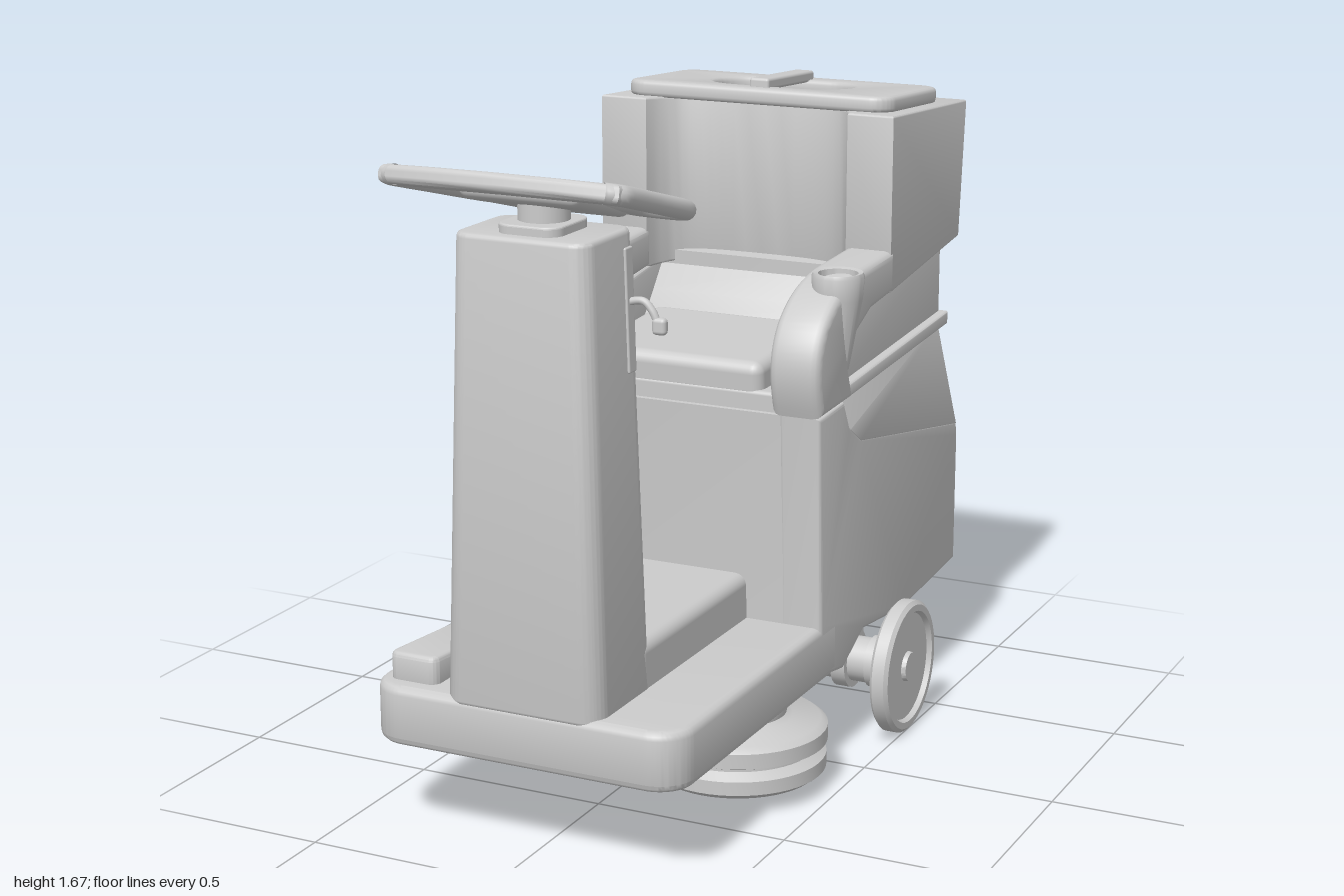
import * as THREE from 'three';
import { toCreasedNormals } from 'three/addons/utils/BufferGeometryUtils.js';
import { RoundedBoxGeometry } from 'three/addons/geometries/RoundedBoxGeometry.js';

const mat = new THREE.MeshStandardMaterial({ color: 0xcccccc, side: THREE.DoubleSide });
const V = (x, y, z) => new THREE.Vector3(x, y, z);

function add(parent, name, geo, x = 0, y = 0, z = 0) {
  const m = new THREE.Mesh(geo, mat);
  m.name = name;
  m.position.set(x, y, z);
  parent.add(m);
  return m;
}
// move every vertex by a rule
function bend(geo, rule) {
  const p = geo.attributes.position, v = V();
  for (let i = 0; i < p.count; i++) {
    rule(v.fromBufferAttribute(p, i));
    p.setXYZ(i, v.x, v.y, v.z);
  }
  return geo;
}
const crease = g => toCreasedNormals(g, 0.6);
const poly = pts => new THREE.Shape(pts.map(p => new THREE.Vector2(p[0], p[1])));
function extrude(shape, depth, b) {
  return new THREE.ExtrudeGeometry(shape, { depth: depth - 2 * b, bevelEnabled: b > 0, bevelSize: b,
    bevelThickness: b, bevelOffset: -b, bevelSegments: 3, curveSegments: 12 }).translate(0, 0, b);
}
// side profile in (z, y), spanning x0..x1
const side = (shape, x0, x1, b = 0.01) => extrude(shape, x1 - x0, b).rotateY(-Math.PI / 2).translate(x1, 0, 0);
// plan shape in (x, z), spanning y0..y1
const plan = (shape, y0, y1, b = 0.01) => extrude(shape, y1 - y0, b).rotateX(Math.PI / 2).translate(0, y1, 0);
// rounded rectangle in plan
function rounded(x0, x1, z0, z1, r, S = THREE.Shape) {
  const s = new S();
  s.absarc(x1 - r, z1 - r, r, 0, Math.PI / 2);
  s.absarc(x0 + r, z1 - r, r, Math.PI / 2, Math.PI);
  s.absarc(x0 + r, z0 + r, r, Math.PI, Math.PI * 1.5);
  s.absarc(x1 - r, z0 + r, r, Math.PI * 1.5, Math.PI * 2);
  s.closePath();
  return s;
}
const lathe = pts => crease(new THREE.LatheGeometry(pts.map(p => new THREE.Vector2(p[0], p[1])), 48));
const tube = (pts, r, n = 80) => new THREE.TubeGeometry(new THREE.CatmullRomCurve3(pts, false, 'catmullrom', 0.5), n, r, 14);
const cyl = (r, h, axis = 'y') => {
  const g = new THREE.CylinderGeometry(r, r, h, 28);
  return axis === 'x' ? g.rotateZ(Math.PI / 2) : axis === 'z' ? g.rotateX(Math.PI / 2) : g;
};
const box = (w, h, d, r = 0.008) => new RoundedBoxGeometry(w, h, d, 3, r);

export function createModel() {
  const g = new THREE.Group();
  g.name = 'rideOnFloorScrubber';

  // platform, tunnel and pedal
  add(g, 'platform', crease(plan(rounded(-0.415, 0.41, -0.1, 0.89, 0.09), 0.24, 0.388, 0.02)));
  add(g, 'floorTunnel', box(0.41, 0.2, 0.62, 0.03), 0, 0.405, 0.36);
  add(g, 'pedal', crease(bend(plan(rounded(-0.38, -0.25, 0.52, 0.84, 0.025), 0.37, 0.455, 0.012),
    v => { if (v.y > 0.4 && v.z < 0.7) v.y -= 0.02; })));

  // steering column, tapering upward
  add(g, 'column', crease(bend(plan(rounded(-0.207, 0.207, 0.592, 0.89, 0.055), 0.37, 1.49, 0.012), v => {
    const k = 1 - 0.17 * (v.y - 0.37) / 1.12;
    v.x *= k;
    v.z = 0.74 + (v.z - 0.74) * k;
  })));
  add(g, 'columnCap', plan(rounded(-0.08, 0.08, 0.65, 0.83, 0.04), 1.48, 1.512, 0.005));
  add(g, 'steeringNeck', cyl(0.06, 0.09), 0, 1.54, 0.735);

  // handlebar, tilted up to the front
  const bar = new THREE.Group();
  bar.name = 'handlebar';
  bar.position.set(0, 1.575, 0.75);
  bar.rotation.x = -0.26;
  g.add(bar);
  add(bar, 'hub', box(0.31, 0.055, 0.28, 0.025), -0.005, -0.005, -0.035);
  add(bar, 'crossbar', crease(plan(poly([[-0.31, 0.15], [-0.17, 0.145], [0, 0.16], [0.17, 0.145], [0.31, 0.15],
    [0.3, 0.205], [0.16, 0.24], [0, 0.255], [-0.16, 0.24], [-0.3, 0.205]]), -0.022, 0.022, 0.016)));
  for (const s of [-1, 1]) {
    const p = [[0.26, 0.2], [0.285, 0.18], [0.29, 0.14], [0.28, 0], [0.27, -0.18], [0.24, -0.235], [0.18, -0.238],
      [0.14, -0.2], [0.135, -0.12], [0.13, -0.03]];
    add(bar, 'grip', tube(p.map(q => V(s * q[0], 0, q[1])), 0.024));
  }

  // column controls
  for (const x of [-0.115, 0.1]) add(g, 'switch', cyl(0.022, 0.035, 'z'), x, 1.405, 0.605);
  add(g, 'keyStem', cyl(0.008, 0.07, 'z'), -0.115, 1.4, 0.505);
  add(g, 'keyHead', box(0.015, 0.035, 0.035, 0.004), -0.115, 1.4, 0.465);
  for (const [s, y, h, ly] of [[1, 1.305, 0.29, 1.31], [-1, 0.97, 0.62, 0.87]]) {
    const x = s * (0.207 - 0.032 * (y - 0.37));
    add(g, 'leverSlot', box(0.012, h, 0.036, 0.004), x, y, 0.665).rotation.z = s * 0.032;
    add(g, 'lever', tube([V(s * 0.16, ly + 0.01, 0.665), V(s * 0.21, ly + 0.02, 0.665), V(s * 0.235, ly, 0.665),
      V(s * 0.25, ly - 0.03, 0.665)], 0.009, 20));
    add(g, 'leverKnob', box(0.035, 0.04, 0.024, 0.01), s * 0.255, ly - 0.035, 0.665);
  }

  // lower body: full-height flanks, and a centre recessed at the rear and underneath
  const flank = poly([[0.08, 0.26], [0.08, 0.39], [0.105, 0.935], [-0.05, 0.945], [-0.09, 0.87], [-0.16, 0.825],
    [-0.85, 0.7], [-0.86, 0.66], [-0.86, 0.3], [-0.48, 0.27], [-0.2, 0.3], [-0.07, 0.235]]);
  const shoulder = poly([[-0.03, 0.94], [-0.09, 0.86], [-0.16, 0.815], [-0.85, 0.69], [-0.79, 0.99]]);
  for (const [a, b] of [[-0.415, -0.3], [0.3, 0.41]]) {
    add(g, 'bodyFlank', crease(side(flank, a, b)));
    add(g, 'bodyShoulder', crease(bend(side(shoulder, a, b, 0.004), v => {
      if (Math.abs(v.x) > 0.39 && v.y > 0.9) v.x -= Math.sign(v.x) * 0.04;
    })));
  }
  add(g, 'bodyCentre', crease(side(poly([[0.08, 0.26], [0.08, 0.39], [0.103, 0.935], [-0.68, 0.98], [-0.72, 0.79],
    [-0.83, 0.71], [-0.85, 0.66], [-0.82, 0.6], [-0.84, 0.4], [-0.5, 0.4], [-0.47, 0.27], [-0.07, 0.24]]), -0.31, 0.31, 0.004)));

  // upper shell with armrests
  add(g, 'seatBase', box(0.6, 0.09, 0.56, 0.01), 0, 0.94, -0.19);
  add(g, 'shellCore', crease(side(poly([[-0.42, 0.94], [-0.42, 1.2], [-0.8, 1.24], [-0.78, 0.97]]), -0.37, 0.37)));
  const arm = new THREE.Shape();
  arm.moveTo(0.105, 0.935);
  arm.bezierCurveTo(0.14, 1.03, 0.14, 1.1, 0.085, 1.165);
  arm.bezierCurveTo(0.03, 1.22, -0.05, 1.255, -0.16, 1.26);
  [[-0.36, 1.27], [-0.36, 1.16], [-0.21, 1.145], [-0.11, 1.1], [-0.07, 1.03], [-0.1, 0.945]].forEach(p => arm.lineTo(...p));
  const armLower = poly([[0, 0.935], [0, 1.12], [-0.79, 1.23], [-0.79, 0.985]]);
  const sill = poly([[-0.07, 0.94], [-0.09, 0.975], [-0.79, 1.02], [-0.79, 0.985]]);
  for (const s of [-1, 1]) {
    // the same part on either side, between distances a and b from the middle
    const flanking = (shape, a, b, bevel) => crease(side(shape, s < 0 ? -b : a, s < 0 ? -a : b, bevel));
    add(g, 'armrest', flanking(arm, 0.28, 0.415, 0.022));
    add(g, 'armrestLower', flanking(armLower, 0.28, 0.375, 0.01));
    add(g, 'shellSill', flanking(sill, 0.28, 0.4, 0.006));
  }
  add(g, 'seatCushion', box(0.485, 0.1, 0.4, 0.03), 0, 1.015, -0.11).rotation.x = 0.06;

  // cup holder on the left armrest
  add(g, 'cupHolder', lathe([[0, 0], [0.03, 0.02], [0.062, 0.2], [0.066, 0.255], [0.062, 0.265], [0.05, 0.262], [0.045, 0.12], [0, 0.12]]),
    0.383, 1.005, -0.06);

  // tank with concave backrest
  const tank = new THREE.Shape();
  tank.moveTo(-0.415, -0.86);
  tank.lineTo(0.41, -0.86);
  tank.lineTo(0.41, -0.34);
  tank.lineTo(0.285, -0.34);
  tank.bezierCurveTo(0.25, -0.45, 0.2, -0.46, 0, -0.46);
  tank.bezierCurveTo(-0.2, -0.46, -0.25, -0.45, -0.285, -0.34);
  tank.lineTo(-0.415, -0.34);
  add(g, 'tank', crease(bend(plan(tank, 1.16, 1.615, 0.006), v => {
    const t = (-0.34 - v.z) / 0.52;
    if (v.y > 1.4) v.y -= 0.03 * t;
    else {
      v.y += 0.06 * t;
      if (v.z < -0.7) v.z += 0.035;
    }
  })));
  add(g, 'backrestFoot', crease(side(poly([[-0.29, 0.97], [-0.31, 1.03], [-0.37, 1.1], [-0.45, 1.2], [-0.46, 0.97]]), -0.29, 0.29, 0.004)));

  // lid with oval hand recess and handle
  const lid = new THREE.Group();
  lid.name = 'tankLid';
  lid.position.set(0, 1.598, -0.585);
  lid.rotation.x = -0.058;
  g.add(lid);
  const lidShape = rounded(-0.378, 0.372, -0.195, 0.195, 0.06);
  lidShape.holes.push(rounded(-0.19, 0.19, -0.11, 0.11, 0.105, THREE.Path));
  add(lid, 'lidPanel', crease(plan(lidShape, 0, 0.042, 0.012)));
  add(lid, 'lidRecess', plan(rounded(-0.2, 0.2, -0.12, 0.12, 0.11), 0, 0.012, 0));
  add(lid, 'lidHandle', box(0.055, 0.03, 0.3), -0.007, 0.05, 0);

  // drain valve on the right flank
  add(g, 'drainValve', cyl(0.04, 0.08, 'z'), -0.385, 1.1, -0.45);
  add(g, 'drainCap', cyl(0.03, 0.06, 'x'), -0.395, 1.09, -0.52);

  // drain hose arching over the rear
  add(g, 'hose', tube([V(0.04, 0.8, -0.74), V(0.12, 0.795, -0.82), V(0.18, 0.83, -0.86), V(0.2, 0.92, -0.88), V(0.2, 1.18, -0.89),
    V(0.165, 1.29, -0.892), V(0.09, 1.34, -0.892), V(0.02, 1.35, -0.892), V(-0.06, 1.34, -0.892), V(-0.13, 1.29, -0.892),
    V(-0.165, 1.18, -0.89), V(-0.165, 0.98, -0.89), V(-0.165, 0.78, -0.93), V(-0.165, 0.66, -0.95)], 0.036, 120));
  add(g, 'hoseNozzle', lathe([[0.036, 0], [0.038, -0.08], [0.05, -0.08], [0.052, 0.025], [0.046, 0.03], [0.046, 0.08], [0.03, 0.08]]),
    -0.165, 0.655, -0.945).rotation.x = 0.15;
  add(g, 'hoseCollar', cyl(0.045, 0.06), -0.165, 0.985, -0.89);
  for (const x of [-0.165, 0.2]) {
    add(g, 'hoseClip', cyl(0.043, 0.025), x, 1.085, -0.89);
    add(g, 'hoseBracket', box(0.04, 0.022, 0.13, 0.005), x, 1.085, -0.82);
  }
  add(g, 'rearFilter', cyl(0.05, 0.34, 'x'), -0.06, 0.85, -0.755);

  // drive axle and wheels
  add(g, 'axle', cyl(0.06, 0.84, 'x'), 0, 0.18, -0.295);
  for (const s of [-1, 1]) {
    add(g, 'axleCollar', cyl(0.078, 0.04, 'x'), s * 0.33, 0.18, -0.295);
    add(g, 'axleBracket', box(0.04, 0.16, 0.12), s * 0.33, 0.26, -0.295);
    add(g, 'wheelHub', cyl(0.068, 0.06, 'x'), s * 0.43, 0.18, -0.295);
    add(g, 'wheel', lathe([[0, -0.025], [0.165, -0.025], [0.175, -0.016], [0.175, 0.016], [0.165, 0.025], [0.148, 0.025],
      [0.142, 0.012], [0.04, 0.012], [0.038, 0.024], [0, 0.024]]), s * 0.483, 0.18, -0.295).rotation.z = -s * Math.PI / 2;

    // scrub brush and motor
    add(g, 'scrubBrush', lathe([[0, 0.045], [0.205, 0.045], [0.225, 0.06], [0.225, 0.095], [0.2, 0.112], [0.2, 0.118], [0.228, 0.13],
      [0.228, 0.168], [0.21, 0.182], [0.14, 0.19], [0.125, 0.2], [0.13, 0.225], [0.13, 0.26], [0, 0.26]]), s * 0.245, 0, 0.222);
  }
  return g;
}
